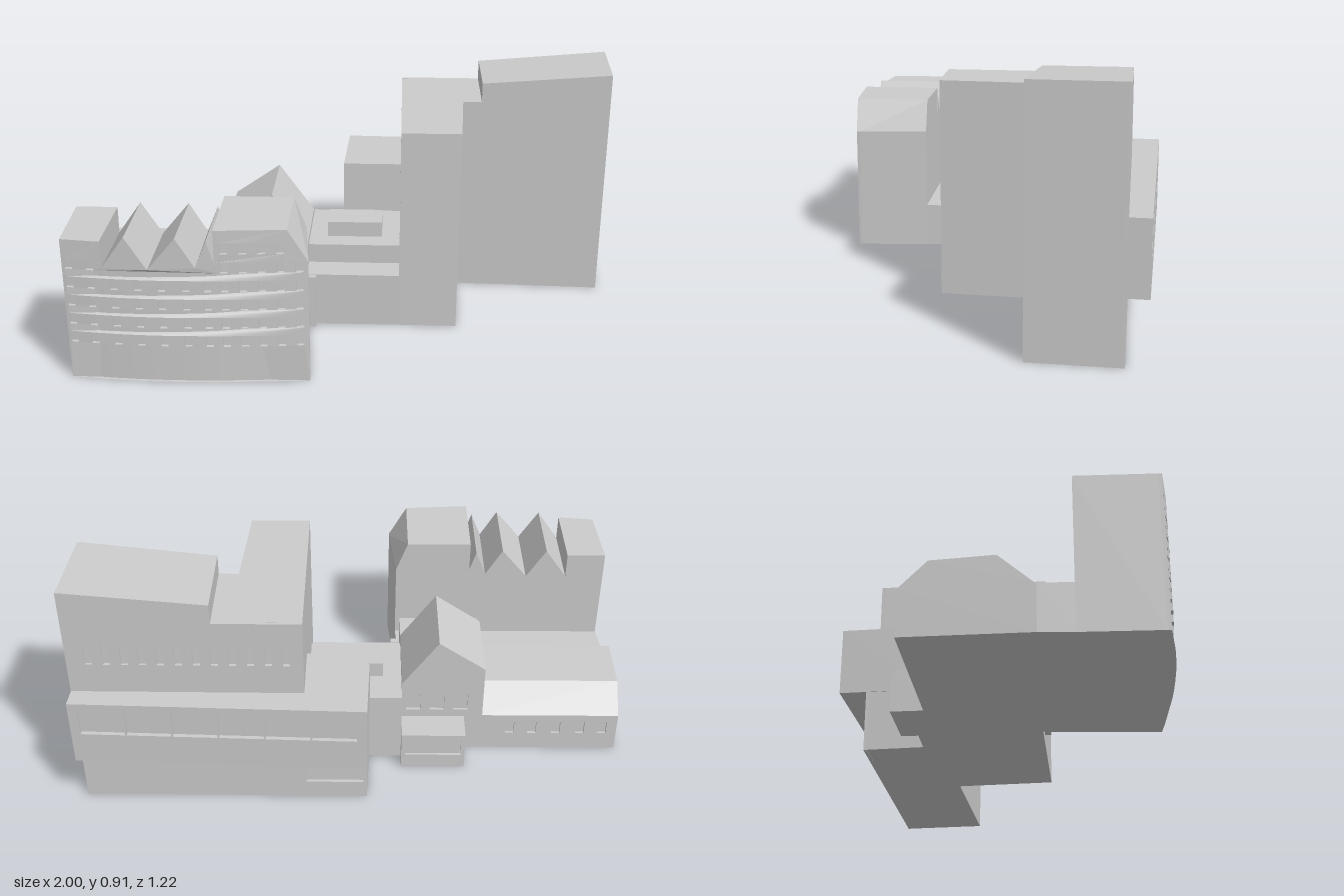
import * as THREE from 'three';

const material = new THREE.MeshStandardMaterial({ color: 0xcccccc, side: THREE.DoubleSide, flatShading: true });
const toShape = (pts) => new THREE.Shape(pts.map(([a, b]) => new THREE.Vector2(a, b)));
const extrude = (shape, depth) => new THREE.ExtrudeGeometry(shape, { depth, bevelEnabled: false, curveSegments: 6 });

function named(name, geometry) {
  const mesh = new THREE.Mesh(geometry, material);
  mesh.name = name;
  return mesh;
}

// Upright block over an [x, z] footprint; top may be a number or a rule of x
function prism(name, footprint, y0, top) {
  const g = extrude(toShape(footprint.map(([x, z]) => [x, -z])), 1).rotateX(-Math.PI / 2);
  const p = g.attributes.position;
  for (let i = 0; i < p.count; i++) {
    const roof = typeof top === 'number' ? top : top(p.getX(i));
    p.setY(i, p.getY(i) > 0.5 ? roof : y0);
  }
  g.computeVertexNormals();
  return named(name, g);
}

const block = (name, x0, x1, z0, z1, y0, y1) =>
  prism(name, [[x0, z0], [x0, z1], [x1, z1], [x1, z0]], y0, y1);

// Openings, centred on (u, y)
function rect(u, y, w, h) {
  return toShape([[u - w / 2, y - h / 2], [u + w / 2, y - h / 2], [u + w / 2, y + h / 2], [u - w / 2, y + h / 2]]);
}
function arch(u, y, w, h) {
  const s = new THREE.Shape();
  s.moveTo(u - w / 2, y - h / 2);
  s.lineTo(u + w / 2, y - h / 2);
  s.lineTo(u + w / 2, y + h / 2 - w / 2);
  s.absarc(u, y + h / 2 - w / 2, w / 2, 0, Math.PI, false);
  return s;
}

// Pierced wall skin whose outer face runs from a to b ([x, z])
function wall(name, a, b, outline, holes, depth) {
  const s = toShape(outline);
  s.holes.push(...holes);
  const mesh = named(name, extrude(s, depth).translate(0, 0, -depth));
  mesh.position.set(a[0], 0, a[1]);
  mesh.rotation.y = Math.atan2(a[1] - b[1], b[0] - a[0]);
  return mesh;
}

const range = (n, f) => Array.from({ length: n }, (_, i) => f(i));

// Bowed front block with a jagged roofline
function frontBlock() {
  const group = new THREE.Group();
  group.name = 'frontBlock';
  const d = 0.012, back = 0.305;
  const bow = (x) => 0.61 - (x < -0.63 ? 0.2 : 0.12) * (x + 0.63) ** 2;
  const roof = [
    [-0.98, 0.54, -0.84, 0.54], [-0.84, 0.44, -0.755, 0.56], [-0.755, 0.56, -0.68, 0.44],
    [-0.68, 0.44, -0.58, 0.56], [-0.58, 0.56, -0.515, 0.45], [-0.515, 0.45, -0.475, 0.55],
    [-0.475, 0.55, -0.45, 0.47], [-0.45, 0.59, -0.2, 0.59], [-0.2, 0.59, -0.13, 0.47],
  ];
  const backX = (x) => (x === -0.13 ? -0.155 : x === -0.98 ? -0.99 : x);
  for (const [x0, y0, x1, y1] of roof) {
    const foot = [[backX(x0), back], [x0, bow(x0) - d], [x1, bow(x1) - d], [backX(x1), back]];
    group.add(prism('roofBay', foot, 0, (x) => (x < (x0 + x1) / 2 ? y0 : y1)));
  }
  // Facade skin with rows of windows, bent to the bow
  const outline = [];
  for (const [x0, y0, x1, y1] of roof) {
    const last = outline[outline.length - 1];
    if (!last || last[0] !== x0 || last[1] !== y0) outline.push([x0, y0]);
    outline.push([x1, y1]);
  }
  for (let i = roof.length - 1; i >= 0; i--) outline.push([roof[i][2], 0]);
  outline.push([-0.98, 0]);
  const shape = toShape(outline);
  const columns = [-0.957, -0.882, -0.8, -0.717, -0.636, -0.551, -0.476, -0.417, -0.353, -0.289, -0.225, -0.16];
  columns.forEach((x, c) => {
    const rows = c > 6 && c < 11 ? 6 : c < 2 || c === 11 ? 5 : 4;
    for (let r = 0; r < rows; r++) shape.holes.push(rect(x, 0.165 + r * 0.0715, 0.026, 0.042));
  });
  const g = extrude(shape, d);
  const p = g.attributes.position;
  for (let i = 0; i < p.count; i++) p.setZ(i, p.getZ(i) - d + bow(p.getX(i)));
  g.computeVertexNormals();
  group.add(named('facade', g));
  return group;
}

// Tall L-shaped block with its projecting rear gallery
function tower() {
  const group = new THREE.Group();
  group.name = 'tower';
  group.add(
    prism('frontWing', [[0.18, 0.16], [0.4, 0.16], [0.418, -0.208], [0.49, -0.205], [0.49, -0.5], [0.18, -0.5]], 0, 0.785),
    prism('highWing', [[0.49, -0.205], [0.982, -0.187], [0.996, -0.5], [0.49, -0.5]], 0,
      (x) => 0.86 + (x - 0.49) * 0.089),
    prism('groundCorner', [[-0.05, -0.285], [-0.04, -0.5], [0.18, -0.5], [0.18, -0.285]], 0, 0.25),
    prism('gallery', [[-0.05, -0.285], [-0.04, -0.6], [0.999, -0.565], [0.996, -0.5], [0.18, -0.5], [0.18, -0.285]], 0.23, 0.49),
  );
  const slots = range(12, (i) => rect(0.077 + i * 0.062, 0.65, 0.024, 0.085));
  group.add(wall('upperRearWall', [0.997, -0.508], [0.18, -0.513],
    [[0, 0.4], [0.817, 0.4], [0.817, 0.785], [0.507, 0.785], [0.507, 0.86], [0, 0.905]], slots, 0.012));
  group.add(wall('groundRearWall', [0.997, -0.508], [-0.04, -0.513],
    [[0, 0], [1.037, 0], [1.037, 0.25], [0, 0.25]], [rect(0.92, 0.14, 0.21, 0.14)], 0.012));
  const panes = range(6, (i) => rect(0.112 + i * 0.163, 0.41, 0.157, 0.11));
  group.add(wall('galleryWall', [1, -0.58], [-0.04, -0.615],
    [[0, 0.23], [1.04, 0.23], [1.04, 0.49], [0, 0.49]], panes, 0.016));
  return group;
}

// Long low hall with arched windows
function hall() {
  const group = new THREE.Group();
  group.name = 'hall';
  const section = [[-0.225, 0], [0.19, 0], [0.19, 0.165], [0.185, 0.165], [0.07, 0.265], [-0.14, 0.255], [-0.235, 0.16], [-0.225, 0.16]];
  const body = named('hallBody', extrude(toShape(section), 0.52).rotateY(-Math.PI / 2));
  body.position.x = -0.48;
  const arches = [0.11, 0.195, 0.287, 0.38, 0.465].map((u) => arch(u, 0.105, 0.032, 0.065));
  group.add(body, wall('hallRearWall', [-0.48, -0.235], [-1, -0.235],
    [[0, 0], [0.52, 0], [0.52, 0.16], [0, 0.16]], arches, 0.01));
  return group;
}

// Gabled house with a small rear annex
function gabledHouse() {
  const group = new THREE.Group();
  group.name = 'gabledHouse';
  const gable = [[0, 0], [0.31, 0], [0.31, 0.38], [0.135, 0.5], [0, 0.31]];
  const windows = [0.045, 0.135, 0.225].map((u) => rect(u, 0.225, 0.055, 0.075));
  group.add(
    wall('houseBody', [-0.17, -0.225], [-0.48, -0.225], gable, [], 0.3),
    wall('gableWall', [-0.17, -0.235], [-0.48, -0.235], gable, windows, 0.01),
    block('flatRoofPart', -0.48, -0.17, 0.07, 0.193, 0, 0.31),
    block('annex', -0.41, -0.17, -0.34, -0.22, 0, 0.155),
    wall('annexWall', [-0.17, -0.35], [-0.41, -0.35],
      [[0, 0], [0.24, 0], [0.24, 0.155], [0, 0.155]], [rect(0.12, 0.095, 0.21, 0.07)], 0.01),
  );
  return group;
}

export function createModel() {
  const model = new THREE.Group();
  model.name = 'buildingComplex';
  model.add(frontBlock(), tower(), hall(), gabledHouse());
  // Courtyard deck and the link between the houses and the tower
  model.add(
    prism('courtyard', [[-1, 0.185], [-0.99, 0.306], [-0.155, 0.306], [-0.163, 0.185]], 0, 0.165),
    block('linkBlock', -0.17, 0.18, -0.288, 0.05, 0, 0.285),
    block('linkFront', -0.17, 0.18, 0.05, 0.16, 0, 0.21),
    block('roofBox', -0.1, 0.11, -0.155, -0.03, 0.28, 0.345),
    block('gatePost', -0.17, -0.135, 0.165, 0.187, 0, 0.21),
  );
  return model;
}
